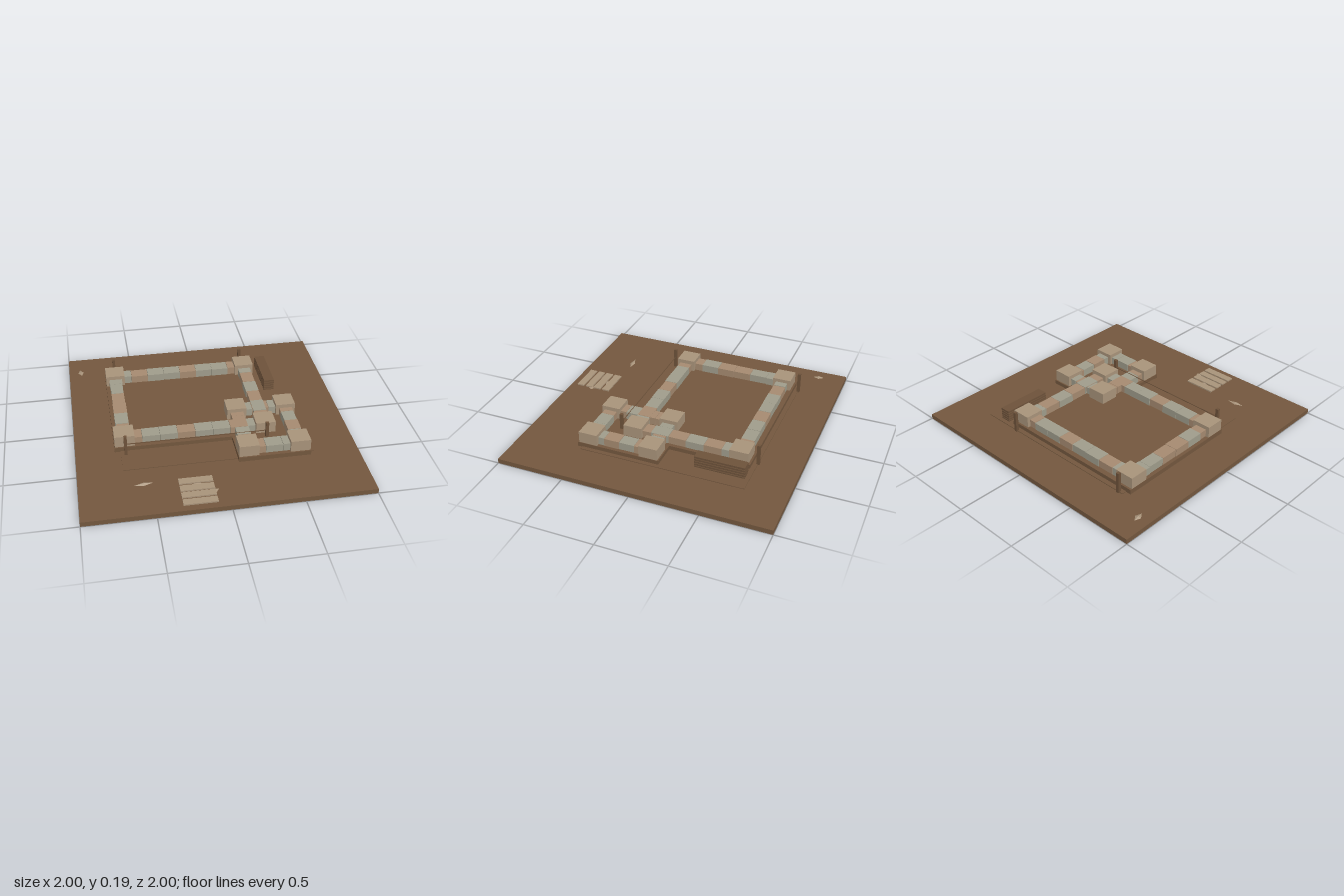
import * as THREE from 'three';

const mat = (name, color) => {
  const m = new THREE.MeshStandardMaterial({ color });
  m.name = name;
  return m;
};

export function createModel() {
  const soil = mat('soil', 0x73573e);
  const timber = mat('timber', 0x6d523a);
  const paleStone = mat('paleStone', 0xa8937a);
  const greyStone = mat('greyStone', 0x9f9c8b);
  const tanStone = mat('tanStone', 0xa58a70);

  const model = new THREE.Group();
  model.name = 'foundationSite';

  // Box given by its minimum and maximum on each axis
  const box = (name, material, x0, x1, y0, y1, z0, z1, parent = model) => {
    const mesh = new THREE.Mesh(new THREE.BoxGeometry(x1 - x0, y1 - y0, z1 - z0), material);
    mesh.position.set((x0 + x1) / 2, (y0 + y1) / 2, (z0 + z1) / 2);
    mesh.name = name;
    parent.add(mesh);
    return mesh;
  };

  let seed = 7;
  const rand = () => (seed = (seed * 16807) % 2147483647) / 2147483647;

  // Ground slab, shallow pad and the two overlapping earth plinths
  box('ground', soil, -1, 1, 0, 0.035, -1, 1);
  box('dirtPad', soil, -0.68, 0.68, 0.03, 0.04, -0.7, 0.52);
  box('mainPlinth', soil, -0.72, 0.455, 0.03, 0.07, -0.665, 0.3);
  box('annexPlinth', soil, 0.13, 0.65, 0.03, 0.0695, -0.065, 0.555);

  // One row of wall blocks; the pattern holds g (grey) or t (tan) per block
  const wall = (name, xa, za, xb, zb, pattern) => {
    const group = new THREE.Group();
    group.name = name;
    const n = pattern.length;
    const alongX = za === zb;
    const pitch = (alongX ? xb - xa : zb - za) / n;
    for (let i = 0; i < n; i++) {
      const start = (alongX ? xa : za) + i * pitch + 0.001;
      const end = start + pitch - 0.002;
      const half = 0.045 + rand() * 0.005;
      const top = 0.125 + rand() * 0.004;
      const material = pattern[i] === 'g' ? greyStone : tanStone;
      if (alongX) box('wallBlock', material, start, end, 0.065, top, za - half, za + half, group);
      else box('wallBlock', material, xa - half, xa + half, 0.065, top, start, end, group);
    }
    model.add(group);
  };

  // Rectangular foundations: big corner stones joined by block walls
  const foundation = (name, x0, x1, z0, z1, back, front, right, left) => {
    wall(name + 'BackWall', x0, z0, x1, z0, back);
    wall(name + 'FrontWall', x0, z1, x1, z1, front);
    wall(name + 'RightWall', x0, z0, x0, z1, right);
    wall(name + 'LeftWall', x1, z0, x1, z1, left);
    for (const x of [x0, x1]) for (const z of [z0, z1])
      box(name + 'CornerStone', paleStone, x - 0.072, x + 0.072, 0.065, 0.155, z - 0.07, z + 0.07);
  };
  foundation('main', -0.645, 0.38, -0.58, 0.22, 'gtggtggt', 'tggtggtg', 'ggttgt', 'gtgtgt');
  foundation('annex', 0.205, 0.575, 0.015, 0.475, 'gtg', 'tgg', 'ttgt', 'tgtg');

  // Marker posts and the line stretched along the front pair
  for (const x of [-0.643, 0.377]) for (const z of [-0.7, 0.338])
    box('markerPost', timber, x - 0.011, x + 0.011, 0.03, 0.193, z - 0.011, z + 0.011);
  box('guideLine', timber, -0.643, 0.377, 0.123, 0.128, 0.335, 0.34);

  // Stack of timber boards beside the back wall
  for (let i = 0; i < 5; i++) {
    const y = 0.034 + i * 0.0195;
    box('stackedBoard', timber, 0.5, 0.578, y, y + 0.015, -0.668, -0.302);
  }

  // Loose slabs laid out on the ground in front
  for (const [z0, z1] of [[0.678, 0.735], [0.752, 0.81], [0.824, 0.878], [0.895, 0.95]])
    box('stoneSlab', paleStone, -0.32, -0.085, 0.034, 0.045, z0, z1);

  // Flat stone chips
  for (const [x, z, w, d, turn] of [
    [-0.908, -0.797, 0.022, 0.042, 0.15], [-0.553, 0.686, 0.065, 0.018, 0.1],
    [-0.09, 0.828, 0.032, 0.024, 0.4], [-0.2, 0.742, 0.03, 0.02, 0]]) {
    const chip = new THREE.Mesh(new THREE.OctahedronGeometry(1), paleStone);
    chip.scale.set(w, 0.009, d);
    chip.rotation.y = turn;
    chip.position.set(x, 0.036, z);
    chip.name = 'stoneChip';
    model.add(chip);
  }

  return model;
}
